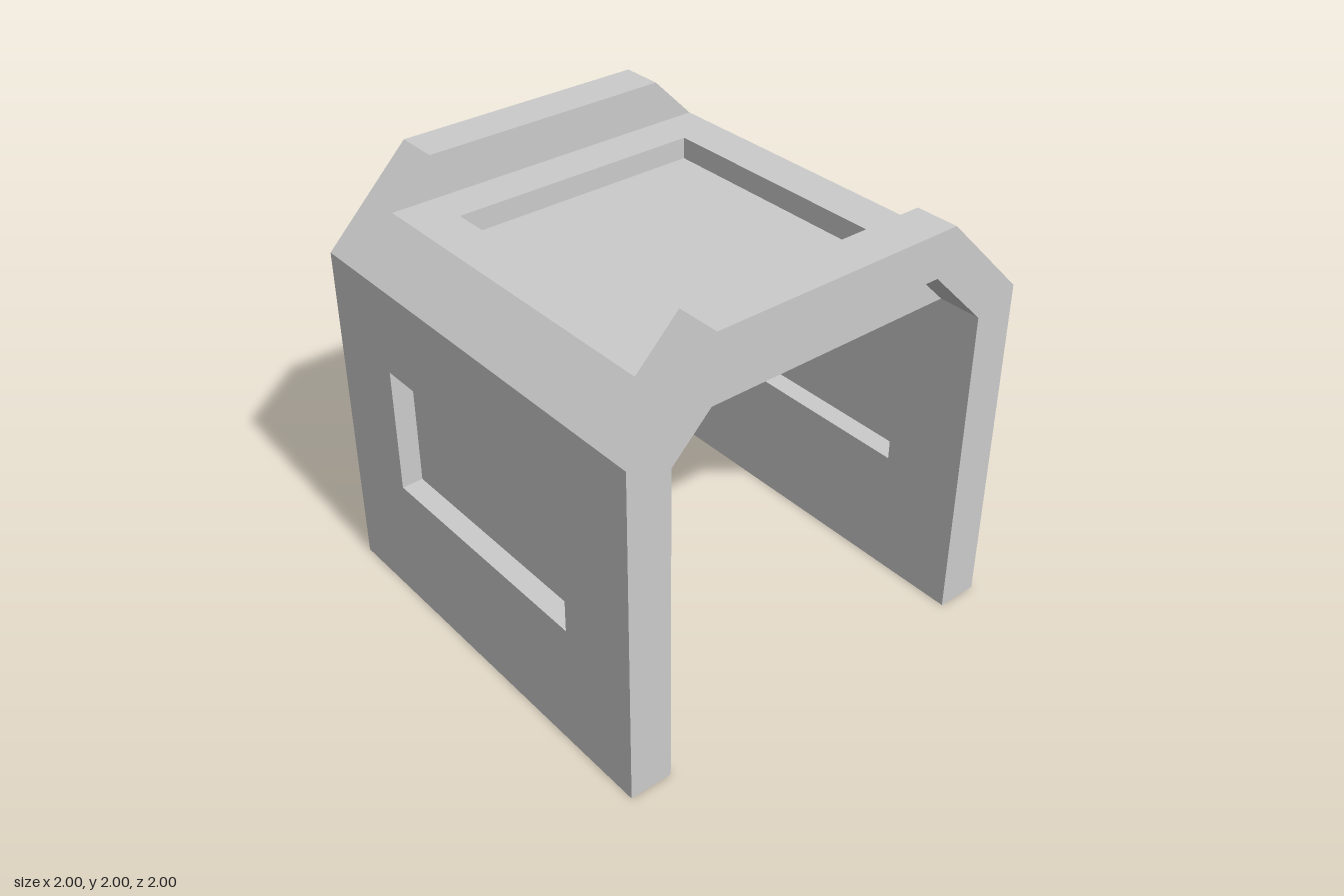
import * as THREE from 'three';

const material = new THREE.MeshStandardMaterial({ color: 0xcccccc, flatShading: true });
const paneMaterial = new THREE.MeshStandardMaterial({ color: 0xcccccc, flatShading: true, side: THREE.DoubleSide });

const toPoints = (list) => list.map(([x, y]) => new THREE.Vector2(x, y));

// Mirrors a right-hand half profile in x to give a closed outline
const mirrored = (half) => [...half, ...half.map(([x, y]) => [-x, y]).reverse()];

// Extrudes an outline in x/y along z from z0 to z1
function prism(name, outline, z0, z1) {
  const geometry = new THREE.ExtrudeGeometry(new THREE.Shape(toPoints(outline)), { depth: z1 - z0, bevelEnabled: false });
  geometry.translate(0, 0, z0);
  const mesh = new THREE.Mesh(geometry, material);
  mesh.name = name;
  return mesh;
}

// Upright wall with a rectangular window closed by a thin pane halfway through
function sideWall(name, side) {
  const group = new THREE.Group();
  group.name = name;
  const shape = new THREE.Shape(toPoints([[-1, 0], [1, 0], [1, 1.52], [-1, 1.52]]));
  shape.holes.push(new THREE.Path(toPoints([[-0.6, 0.6], [-0.6, 1.2], [0.6, 1.2], [0.6, 0.6]])));
  const geometry = new THREE.ExtrudeGeometry(shape, { depth: 0.2, bevelEnabled: false });
  geometry.translate(0, 0, -0.1).rotateY(Math.PI / 2);
  const wall = new THREE.Mesh(geometry, material);
  wall.name = 'wallPanel';
  const pane = new THREE.Mesh(new THREE.PlaneGeometry(1.2, 0.6), paneMaterial);
  pane.name = 'windowPane';
  pane.rotation.y = side * Math.PI / 2;
  pane.position.y = 0.9;
  group.add(wall, pane);
  group.position.x = side * 0.9;
  return group;
}

export function createModel() {
  const model = new THREE.Group();
  model.name = 'archedShelter';

  model.add(sideWall('leftWall', 1), sideWall('rightWall', -1));

  // Raised chamfered arches at both ends
  const arch = [
    ...mirrored([[1, 1.52], [1, 1.6], [0.6, 2]]),
    [-0.8, 1.52], [-0.52, 1.8], [0.52, 1.8], [0.8, 1.52],
  ];
  model.add(prism('frontArch', arch, 0.8, 1), prism('backArch', arch, -1, -0.8));

  // Roof slab, whose top is the floor of the recess
  model.add(prism('roofSlab', mirrored([[1, 1.52], [1, 1.6], [0.9, 1.7]]), -0.8, 0.8));

  // Raised rim around the roof recess
  const rim = new THREE.Group();
  rim.name = 'roofRim';
  for (const side of [1, -1]) {
    const rail = [[0.6, 1.7], [0.9, 1.7], [0.8, 1.8], [0.6, 1.8]].map(([x, y]) => [side * x, y]);
    rim.add(prism(side > 0 ? 'leftRail' : 'rightRail', rail, -0.8, 0.8));
    const bar = new THREE.Mesh(new THREE.BoxGeometry(1.2, 0.1, 0.2), material);
    bar.name = side > 0 ? 'frontBar' : 'backBar';
    bar.position.set(0, 1.75, side * 0.7);
    rim.add(bar);
  }
  model.add(rim);
  return model;
}
